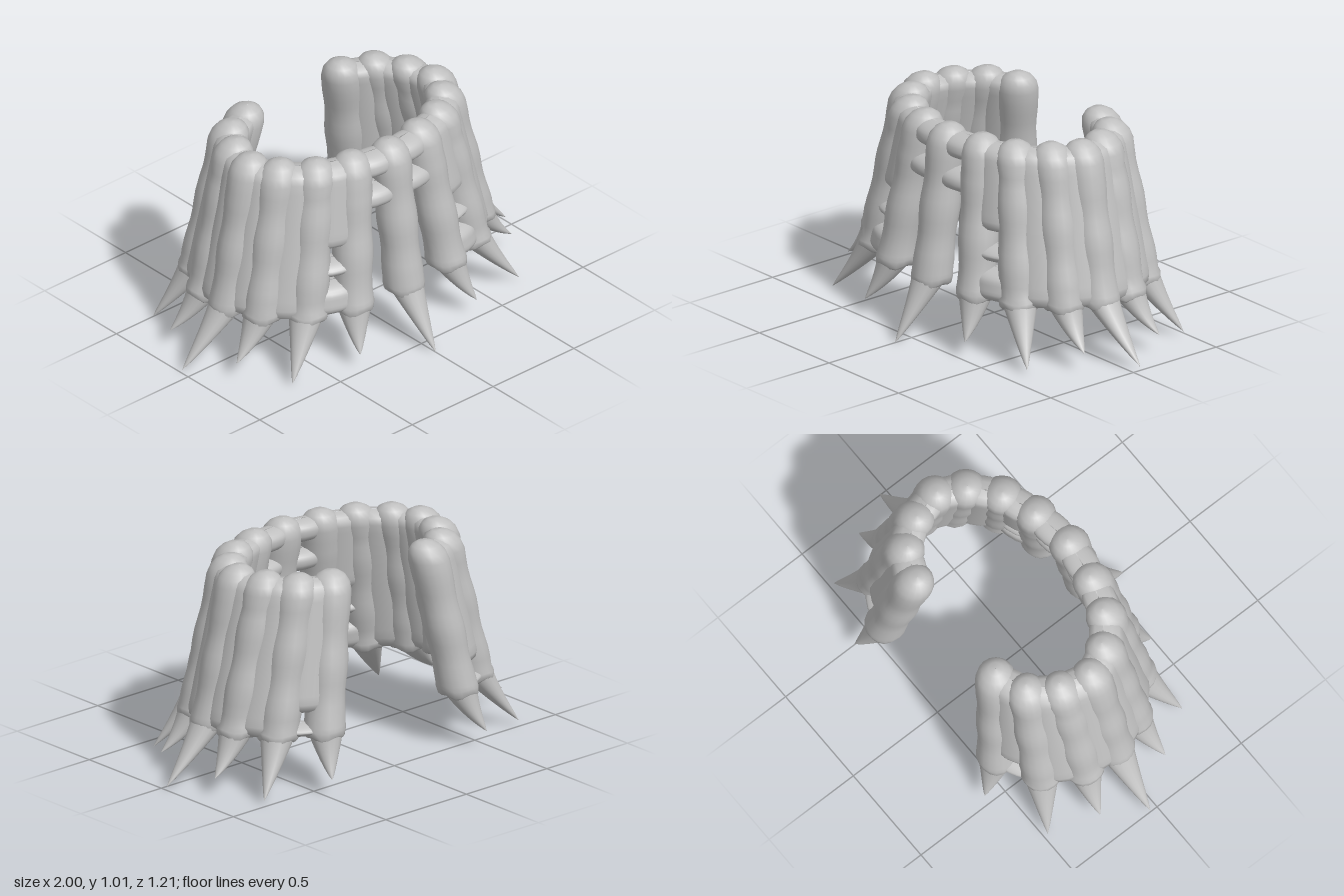
import * as THREE from 'three';

// Half of the ring, from the front centre to the back end:
// [top x, top z, bottom x, bottom z, tip x, tip y, tip z]
const FINGERS = [
  [0.00, 0.28, 0.00, 0.375, 0.00, 0.00, 0.60],
  [0.21, 0.25, 0.285, 0.345, 0.36, 0.08, 0.48],
  [0.38, 0.19, 0.50, 0.27, 0.70, 0.02, 0.39],
  [0.51, 0.08, 0.65, 0.13, 0.85, 0.09, 0.17],
  [0.575, -0.05, 0.715, -0.03, 1.00, 0.02, -0.04],
  [0.54, -0.20, 0.70, -0.20, 0.89, 0.09, -0.25],
  [0.45, -0.33, 0.60, -0.37, 0.79, 0.02, -0.48],
  [0.30, -0.395, 0.41, -0.475, 0.48, 0.08, -0.605],
];
// Height ranges of the web between finger i and i + 1; the gaps are holes
const FULL = [[0.255, 0.985]];
const WEBS = [
  [[0.72, 0.83], [0.87, 0.985]],
  [[0.26, 0.41], [0.44, 0.52], [0.58, 0.985]],
  FULL, FULL, FULL, FULL,
  [[0.26, 0.32], [0.37, 0.985]],
];
const TOP = 0.95, BOTTOM = 0.3, SIDES = 18;

// Closed skin over horizontal oval sections, listed from top to bottom
function loft(rows) {
  const pos = [], index = [];
  rows.forEach(({ x, y, z, a, b = a, ux = 1, uz = 0, wave = 0 }, j) => {
    for (let i = 0; i < SIDES; i++) {
      const t = (i / SIDES) * Math.PI * 2;
      const p = a * Math.cos(t), q = b * Math.sin(t);
      pos.push(x + p * ux - q * uz, y + wave * Math.cos(t * 4), z + p * uz + q * ux);
      if (j === rows.length - 1) continue;
      const k = j * SIDES + i, n = j * SIDES + (i + 1) % SIDES;
      index.push(k, n, k + SIDES, n, n + SIDES, k + SIDES);
    }
  });
  const g = new THREE.BufferGeometry();
  g.setAttribute('position', new THREE.Float32BufferAttribute(pos, 3));
  g.setIndex(index);
  g.computeVertexNormals();
  return g;
}

// Centre of a finger at height y
function centre(f, y) {
  const t = (TOP - y) / (TOP - BOTTOM);
  return { x: f[0] + (f[2] - f[0]) * t, z: f[1] + (f[3] - f[1]) * t };
}

// Rounded, slightly lumpy column
function fingerGeometry(f, seed) {
  const rows = [[1.012, 0.001], [1.008, 0.035], [0.99, 0.066], [0.96, 0.088], [0.92, 0.097]]
    .map(([y, a]) => ({ ...centre(f, y), y, a }));
  for (let y = 0.86; y > 0.3; y -= 0.05) {
    const a = 0.093 + 0.004 * Math.sin(y * 23 + seed * 1.9);
    rows.push({ ...centre(f, y), y, a });
  }
  [[0.29, 0.099, 0.004], [0.262, 0.094, 0.01], [0.248, 0.08, 0.008], [0.25, 0.001, 0]]
    .forEach(([y, a, wave]) => rows.push({ ...centre(f, y), y, a, wave }));
  return loft(rows);
}

// Flat oval web joining two neighbouring fingers
function webGeometry(f, g, [low, high]) {
  const rows = [], n = 16;
  for (let j = 0; j <= n; j++) {
    const s = (1 - Math.cos((j / n) * Math.PI)) / 2;
    const y = high + (low - high) * s;
    const p = centre(f, y), q = centre(g, y);
    const dx = q.x - p.x, dz = q.z - p.z, d = Math.hypot(dx, dz);
    const edge = Math.min(high - y, y - low);
    const round = Math.sqrt(Math.max(0.0005, 1 - (1 - Math.min(1, edge / 0.05)) ** 2));
    rows.push({
      x: (p.x + q.x) / 2, y, z: (p.z + q.z) / 2, ux: dx / d, uz: dz / d,
      a: d * (0.45 + 0.2 * round), b: 0.079 * round,
    });
  }
  return loft(rows);
}

// Pointed claw curving outward to its tip
function clawGeometry(f) {
  const base = centre(f, 0.3);
  const curve = new THREE.QuadraticBezierCurve3(
    new THREE.Vector3(base.x, 0.3, base.z),
    new THREE.Vector3(base.x + (f[4] - base.x) * 0.38, 0.17, base.z + (f[6] - base.z) * 0.38),
    new THREE.Vector3(f[4], f[5], f[6]));
  const rows = [];
  for (let j = 0; j <= 10; j++) {
    const t = j / 10, { x, y, z } = curve.getPoint(t);
    rows.push({ x, y, z, a: 0.09 * Math.pow(1 - t, 0.85) + 0.0005 });
  }
  return loft(rows);
}

export function createModel() {
  const model = new THREE.Group();
  model.name = 'clawedRing';
  const grey = new THREE.MeshStandardMaterial({ color: 0xc0c0c0 });
  grey.name = 'grey';
  const add = (name, geometry) => {
    const mesh = new THREE.Mesh(geometry, grey);
    mesh.name = name;
    model.add(mesh);
  };

  for (const side of [1, -1]) {
    const label = side > 0 ? 'Left' : 'Right';
    const row = FINGERS.map(([a, b, c, d, e, h, k]) => [a * side, b, c * side, d, e * side, h, k]);
    row.forEach((f, i) => {
      if (i > 0 || side > 0) {
        const suffix = i === 0 ? 'Front' : label + i;
        add('finger' + suffix, fingerGeometry(f, i));
        add('claw' + suffix, clawGeometry(f));
      }
      if (i < WEBS.length) {
        WEBS[i].forEach((range, j) => add(`web${label}${i + 1}_${j + 1}`, webGeometry(f, row[i + 1], range)));
      }
    });
  }
  return model;
}
